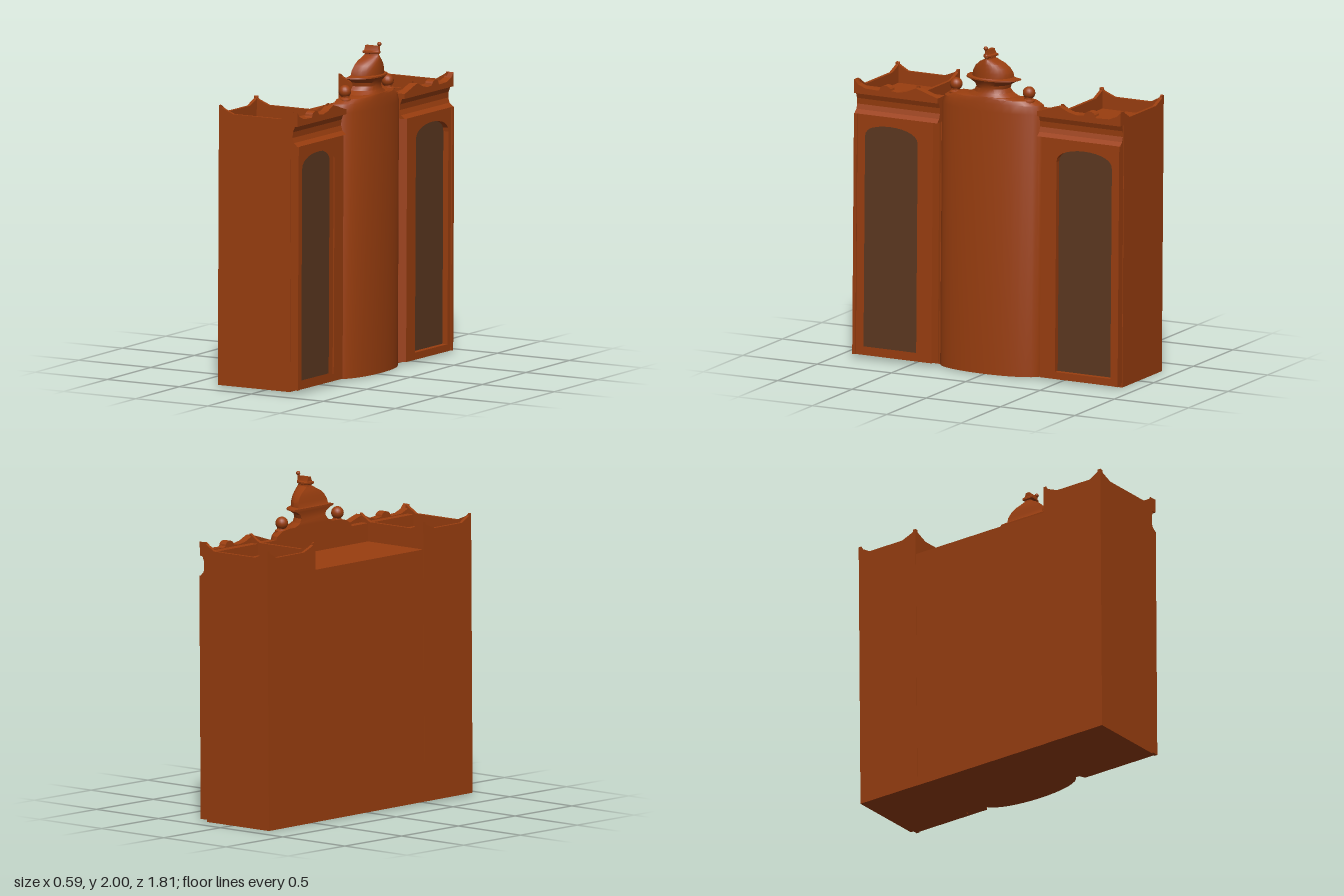
import * as THREE from 'three';
import { toCreasedNormals } from 'three/addons/utils/BufferGeometryUtils.js';

const wood = new THREE.MeshStandardMaterial({ color: 0x9a3e0f });
const pane = new THREE.MeshStandardMaterial({ color: 0x5c3820 });

// Upright outline (x mirrored by s) extruded from z0 to z1
function outline(pts, s, Type = THREE.Shape) {
  return new Type(pts.map(([x, y]) => new THREE.Vector2(x * s, y)));
}
function slab(shape, z0, z1) {
  return new THREE.ExtrudeGeometry(shape, { depth: z1 - z0, bevelEnabled: false }).translate(0, 0, z0);
}
function block(x0, x1, y0, y1, z0, z1) {
  return new THREE.BoxGeometry(x1 - x0, y1 - y0, z1 - z0)
    .translate((x0 + x1) / 2, (y0 + y1) / 2, (z0 + z1) / 2);
}

// Loft of flat-backed, bow-fronted sections; rows are [y, halfWidth, backZ, frontZ]
function bowLoft(rows, n = 14) {
  const pos = [], index = [], m = n + 1;
  for (const [y, w, b, f] of rows) {
    for (let j = 0; j <= n; j++) {
      const t = (Math.PI * j) / n;
      pos.push(w * Math.cos(t), y, b + (f - b) * Math.pow(Math.max(0, Math.sin(t)), 0.8));
    }
  }
  for (let i = 0; i < rows.length - 1; i++) {
    for (let j = 0; j < m; j++) {
      const a = i * m + j, b = i * m + ((j + 1) % m);
      index.push(a, a + m, b, b, a + m, b + m);
    }
  }
  const top = (rows.length - 1) * m;
  for (let j = 1; j < n; j++) index.push(0, j, j + 1, top, top + j + 1, top + j);
  const g = new THREE.BufferGeometry();
  g.setAttribute('position', new THREE.Float32BufferAttribute(pos, 3));
  g.setIndex(index);
  return toCreasedNormals(g, 0.45);
}

// Parapet wall with raised corners, running from a to b
function wallPoints(a, b) {
  return [[a, 1.5], [b, 1.5], [b, 1.685], [b - 0.03, 1.665], [b - 0.08, 1.637],
    [a + 0.1, 1.637], [a + 0.03, 1.665], [a, 1.685]];
}

// Arched pane outline
function archPoints() {
  const x0 = 0.467, x1 = 0.84, c = (x0 + x1) / 2, r = (x1 - x0) / 2;
  const pts = [[x0, 0.055], [x1, 0.055]];
  for (let i = 0; i <= 14; i++) {
    const t = (Math.PI * i) / 14;
    pts.push([c + r * Math.cos(t), 1.335 + 0.085 * Math.pow(Math.sin(t), 0.85)]);
  }
  return pts;
}

export function createModel() {
  const root = new THREE.Group();
  const cabinet = new THREE.Group();
  cabinet.name = 'cabinet';
  root.add(cabinet);
  const add = (name, geometry, material = wood, parent = cabinet) => {
    const mesh = new THREE.Mesh(geometry, material);
    mesh.name = name;
    parent.add(mesh);
    return mesh;
  };

  // Central carcass with its lower deck
  add('centreCarcass', block(-0.476, 0.476, 0, 1.52, -0.293, 0.19));

  for (const s of [-1, 1]) {
    const tower = new THREE.Group();
    tower.name = s < 0 ? 'rightTower' : 'leftTower';
    cabinet.add(tower);
    const put = (name, g, m) => add(name, g, m, tower);

    // Tower carcass and the tray walls on top
    const xa = s > 0 ? 0.475 : -0.897, xb = s > 0 ? 0.897 : -0.475;
    put('towerCarcass', block(xa, xb, 0, 1.56, -0.295, 0.205));
    put('trayBackWall', slab(outline(wallPoints(0.475, 0.897), s), -0.295, -0.275));
    for (const x of [0.475, 0.877]) {
      const g = slab(outline(wallPoints(-0.295, 0.215), 1), 0, 0.02).rotateY(-Math.PI / 2);
      g.translate(s > 0 ? x + 0.02 : -x, 0, 0);
      put('traySideWall', g);
    }

    // Door frame with arched opening and recessed pane
    const frame = outline([[0.375, 0.012], [0.893, 0.012], [0.893, 1.478], [0.375, 1.478]], s);
    frame.holes.push(outline(archPoints(), s, THREE.Path));
    put('doorFrame', slab(frame, 0.19, 0.25));
    put('doorPane', slab(outline(archPoints(), s), 0.2, 0.215), pane);
    const edge = s > 0 ? [0.872, 0.893] : [-0.893, -0.872];
    put('outerBead', block(edge[0], edge[1], 0.012, 1.478, 0.24, 0.258));

    // Splayed inner post beside the bowed bay (plan outline, extruded upward)
    const post = outline([[0.335, -0.15], [0.38, -0.15], [0.38, -0.25], [0.365, -0.25], [0.345, -0.205]], s);
    put('innerPost', slab(post, 0.012, 1.478).rotateX(-Math.PI / 2));

    // Hollow cornice moulding
    const cove = outline([[0.15, 1.478], [0.25, 1.478], [0.225, 1.5], [0.215, 1.53],
      [0.218, 1.565], [0.23, 1.595], [0.25, 1.61], [0.25, 1.63], [0.15, 1.63]], 1);
    const coveGeo = slab(cove, 0, 0.557).rotateY(-Math.PI / 2);
    put('cornice', coveGeo.translate(s > 0 ? 0.894 : -0.337, 0, 0));

    // Scrolled crest along the front edge
    const crest = [[0.335, 1.6], [0.897, 1.6], [0.897, 1.685], [0.87, 1.655], [0.82, 1.636], [0.735, 1.633]];
    for (let i = 0; i <= 8; i++) {
      const t = (Math.PI * i) / 8;
      crest.push([0.688 + 0.038 * Math.cos(t), 1.64 + 0.028 * Math.sin(t)]);
    }
    crest.push([0.6, 1.636], [0.55, 1.646], [0.482, 1.675], [0.43, 1.66], [0.385, 1.645], [0.335, 1.63]);
    put('frontCrest', slab(outline(crest, s), 0.2, 0.25));

    // Ball finial on a turned foot
    const foot = [[0, 1.64], [0.04, 1.64], [0.038, 1.675], [0.024, 1.685], [0.024, 1.7], [0, 1.7]]
      .map(([x, y]) => new THREE.Vector2(x, y));
    put('ballFoot', toCreasedNormals(new THREE.LatheGeometry(foot, 16), 0.5).translate(s * 0.245, 0, 0.19));
    put('ballFinial', new THREE.SphereGeometry(0.038, 18, 12).translate(s * 0.245, 1.72, 0.185));
  }

  // Bowed central bay
  add('bowedBay', bowLoft([[0, 0.345, 0.15, 0.293], [1.6, 0.345, 0.15, 0.295],
    [1.65, 0.325, 0.15, 0.29], [1.675, 0.28, 0.15, 0.287], [1.685, 0.21, 0.15, 0.285]], 18));

  // Flat-backed ogee dome with brim
  add('dome', bowLoft([[1.67, 0.2, 0.15, 0.285], [1.69, 0.15, 0.15, 0.28], [1.705, 0.122, 0.15, 0.272],
    [1.73, 0.105, 0.155, 0.268], [1.752, 0.112, 0.155, 0.272], [1.772, 0.145, 0.152, 0.284],
    [1.782, 0.175, 0.15, 0.29], [1.79, 0.172, 0.15, 0.29], [1.797, 0.13, 0.155, 0.283],
    [1.825, 0.126, 0.16, 0.283], [1.855, 0.108, 0.166, 0.282], [1.88, 0.08, 0.172, 0.28],
    [1.898, 0.045, 0.18, 0.278], [1.91, 0.026, 0.185, 0.275]]));

  // Spire and top knob
  add('spire', bowLoft([[1.9, 0.024, 0.185, 0.274], [1.918, 0.02, 0.187, 0.272], [1.924, 0.036, 0.18, 0.28],
    [1.934, 0.036, 0.18, 0.28], [1.94, 0.022, 0.184, 0.278], [1.955, 0.015, 0.184, 0.279],
    [1.966, 0.012, 0.184, 0.28]], 10));
  add('knobStem', new THREE.CylinderGeometry(0.005, 0.007, 0.03, 8).translate(0, 1.965, 0.272));
  add('topKnob', new THREE.SphereGeometry(0.013, 12, 8).translate(0, 1.979, 0.275));

  // Slight lean, then turn the facade to +x
  cabinet.rotation.z = -0.008;
  cabinet.position.y = 0.008;
  root.rotation.y = Math.PI / 2;
  const model = new THREE.Group();
  model.name = 'model';
  model.add(root);
  return model;
}
